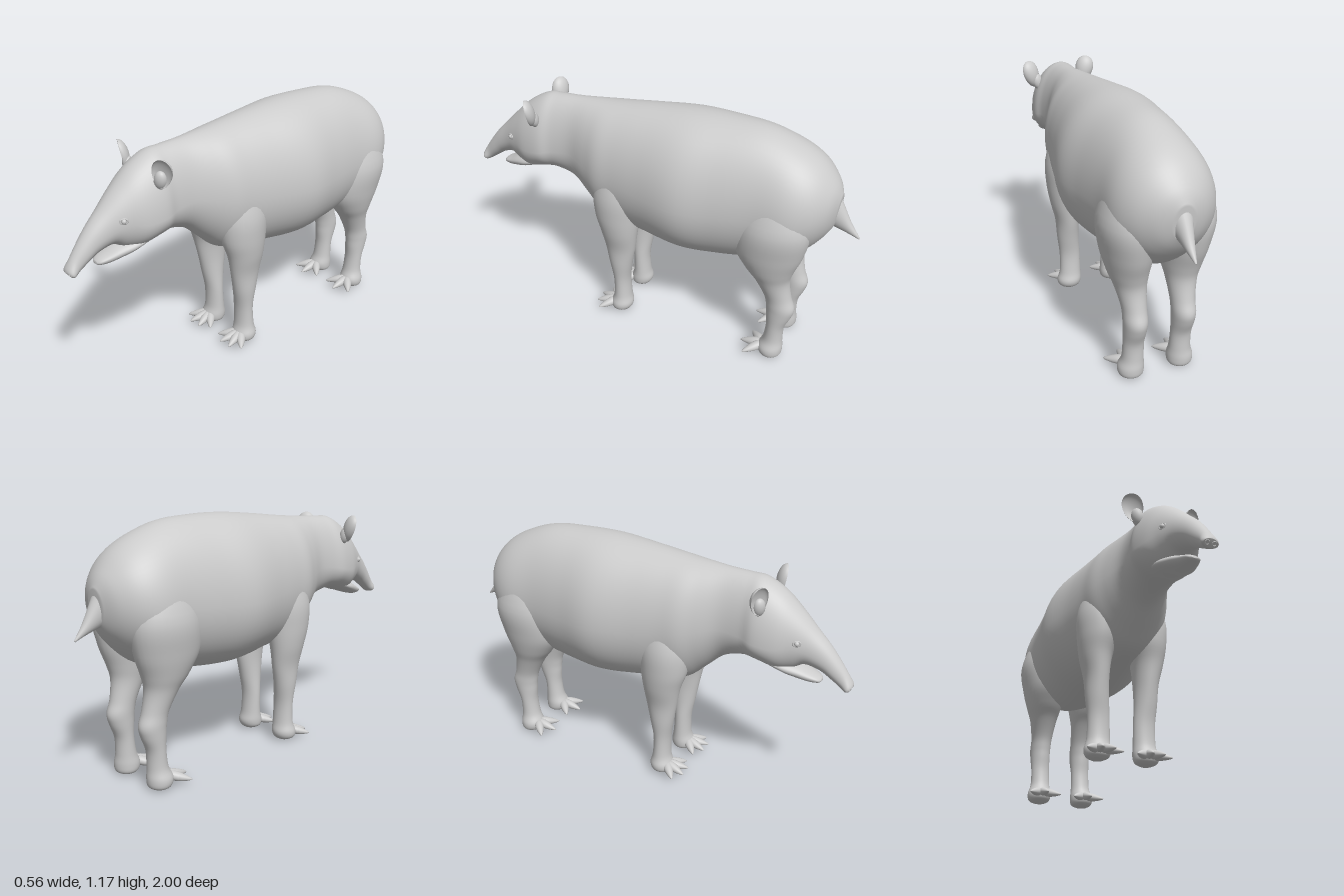
import * as THREE from 'three';

const material = new THREE.MeshStandardMaterial({ color: 0xcccccc });

function add(parent, name, geometry) {
  const mesh = new THREE.Mesh(geometry, material);
  mesh.name = name;
  parent.add(mesh);
  return mesh;
}

// Smooth skin through oval sections. Each section: [z1, y1, z2, y2, halfWidth, widest, centreX],
// where 1 and 2 are the two ends of the oval in side view and "widest" is the
// fraction from end 2 to end 1 at which the oval is broadest.
function loft(sections, around = 40, steps = 5) {
  const n = sections.length;
  const catmull = (a, b, c, d, t) =>
    b + 0.5 * t * (c - a + t * (2 * a - 5 * b + 4 * c - d + t * (3 * (b - c) + d - a)));
  const rings = [];
  for (let i = 0; i < n - 1; i++) {
    const [a, b, c, d] = [i - 1, i, i + 1, i + 2].map(k => sections[Math.min(n - 1, Math.max(0, k))]);
    for (let s = 0; s < steps; s++) rings.push(b.map((_, k) => catmull(a[k], b[k], c[k], d[k], s / steps)));
  }
  rings.push(sections[n - 1]);

  const position = [], index = [];
  for (const [z1, y1, z2, y2, w, f, cx = 0] of rings) {
    const mz = z2 + (z1 - z2) * f, my = y2 + (y1 - y2) * f;
    for (let j = 0; j < around; j++) {
      const angle = (j / around) * Math.PI * 2, t = Math.cos(angle), k = Math.abs(t);
      const [ez, ey] = t > 0 ? [z1, y1] : [z2, y2];
      position.push(cx + w * Math.sin(angle), my + (ey - my) * k, mz + (ez - mz) * k);
    }
  }
  for (let i = 0; i < rings.length - 1; i++) {
    for (let j = 0; j < around; j++) {
      const a = i * around + j, b = i * around + (j + 1) % around;
      index.push(a, a + around, b, b, a + around, b + around);
    }
  }
  // End caps
  const last = (rings.length - 1) * around;
  for (const [ring, start, flip] of [[rings[0], 0, false], [rings[rings.length - 1], last, true]]) {
    const centre = position.length / 3;
    position.push(ring[6] ?? 0, (ring[1] + ring[3]) / 2, (ring[0] + ring[2]) / 2);
    for (let j = 0; j < around; j++) {
      const a = start + j, b = start + (j + 1) % around;
      index.push(centre, flip ? b : a, flip ? a : b);
    }
  }
  const geometry = new THREE.BufferGeometry();
  geometry.setAttribute('position', new THREE.Float32BufferAttribute(position, 3));
  geometry.setIndex(index);
  geometry.computeVertexNormals();
  return geometry;
}

// Sphere reshaped by a rule acting on each vertex
function shapedSphere(rule) {
  const geometry = new THREE.SphereGeometry(1, 28, 20);
  const p = geometry.attributes.position, v = new THREE.Vector3();
  for (let i = 0; i < p.count; i++) {
    rule(v.fromBufferAttribute(p, i));
    p.setXYZ(i, v.x, v.y, v.z);
  }
  geometry.computeVertexNormals();
  return geometry;
}

// Rump to snout
const bodySections = [
  [-0.90, 0.90, -0.885, 0.75, 0.045, 0.5],
  [-0.87, 0.965, -0.85, 0.69, 0.12, 0.5],
  [-0.80, 1.045, -0.79, 0.62, 0.19, 0.48],
  [-0.70, 1.105, -0.70, 0.55, 0.23, 0.46],
  [-0.55, 1.155, -0.55, 0.505, 0.235, 0.45],
  [-0.38, 1.168, -0.38, 0.475, 0.255, 0.45],
  [-0.20, 1.168, -0.20, 0.465, 0.28, 0.45],
  [0.00, 1.15, 0.00, 0.485, 0.24, 0.46],
  [0.13, 1.135, 0.13, 0.50, 0.215, 0.48],
  [0.22, 1.125, 0.23, 0.53, 0.20, 0.48],
  [0.30, 1.118, 0.31, 0.60, 0.165, 0.45],
  [0.40, 1.11, 0.40, 0.68, 0.128, 0.4],
  [0.50, 1.105, 0.50, 0.715, 0.128, 0.33],
  [0.57, 1.098, 0.57, 0.715, 0.145, 0.3],
  [0.66, 1.05, 0.66, 0.69, 0.132, 0.36],
  [0.74, 0.98, 0.73, 0.70, 0.10, 0.46],
  [0.82, 0.90, 0.78, 0.73, 0.073, 0.45],
  [0.88, 0.84, 0.85, 0.715, 0.055, 0.45],
  [0.93, 0.78, 0.90, 0.685, 0.044, 0.45],
  [0.97, 0.725, 0.94, 0.658, 0.036, 0.45],
  [0.995, 0.685, 0.967, 0.642, 0.04, 0.45],
  [1.00, 0.668, 0.975, 0.64, 0.033, 0.5],
];

const jawSections = [
  [0.62, 0.76, 0.62, 0.71, 0.09, 0.5],
  [0.70, 0.745, 0.70, 0.678, 0.085, 0.5],
  [0.76, 0.725, 0.76, 0.66, 0.068, 0.55],
  [0.81, 0.70, 0.81, 0.65, 0.05, 0.6],
  [0.845, 0.683, 0.85, 0.652, 0.034, 0.6],
  [0.86, 0.672, 0.862, 0.66, 0.015, 0.5],
];

const tailSections = [
  [-0.999, 0.703, -0.995, 0.697, 0.004, 0.5],
  [-0.955, 0.765, -0.95, 0.715, 0.018, 0.5],
  [-0.91, 0.85, -0.89, 0.735, 0.035, 0.5],
  [-0.86, 0.94, -0.84, 0.75, 0.06, 0.5],
];

// Legs, top to sole: [frontZ, backZ, y, halfWidth, centreX]
const frontLeg = [
  [0.22, 0.02, 0.88, 0.085, 0.10], [0.26, 0.01, 0.72, 0.105, 0.118],
  [0.255, 0.02, 0.60, 0.097, 0.125], [0.225, 0.035, 0.50, 0.075, 0.133],
  [0.205, 0.05, 0.40, 0.058, 0.127], [0.187, 0.07, 0.30, 0.055, 0.123],
  [0.17, 0.085, 0.20, 0.053, 0.115], [0.17, 0.08, 0.10, 0.055, 0.115],
  [0.185, 0.07, 0.05, 0.062, 0.12], [0.18, 0.08, 0.02, 0.055, 0.12],
  [0.16, 0.10, 0.006, 0.03, 0.12],
];
const hindLeg = [
  [-0.52, -0.76, 0.92, 0.085, 0.12], [-0.47, -0.81, 0.76, 0.12, 0.135],
  [-0.465, -0.79, 0.62, 0.11, 0.13], [-0.52, -0.755, 0.52, 0.09, 0.125],
  [-0.575, -0.74, 0.45, 0.07, 0.12], [-0.625, -0.755, 0.36, 0.055, 0.115],
  [-0.64, -0.775, 0.30, 0.053, 0.115], [-0.645, -0.765, 0.25, 0.051, 0.115],
  [-0.65, -0.738, 0.18, 0.048, 0.115], [-0.64, -0.735, 0.10, 0.05, 0.115],
  [-0.62, -0.74, 0.05, 0.06, 0.12], [-0.63, -0.735, 0.015, 0.055, 0.12],
  [-0.66, -0.71, 0.0, 0.03, 0.12],
];

export function createModel() {
  const model = new THREE.Group();
  model.name = 'tapir';
  add(model, 'body', loft(bodySections, 56));
  add(model, 'lowerJaw', loft(jawSections));
  add(model, 'tail', loft(tailSections, 24));

  // Toe tapers and droops towards its tip
  const toeGeometry = shapedSphere(v => {
    const taper = 1 - 0.45 * v.z;
    v.set(v.x * 0.021 * taper, v.y * 0.02 * taper - 0.012 * v.z, v.z * 0.058);
  });
  // Ear is a ball with its front half pushed in to form a cup
  const earGeometry = shapedSphere(v => {
    const z = v.z > 0 ? -0.65 * v.z : v.z;
    v.set(v.x * (0.047 + 0.008 * v.y), v.y * 0.07, z * 0.036);
  });

  for (const side of [-1, 1]) {
    const label = side > 0 ? 'left' : 'right';

    // Legs and splayed toes
    for (const [name, rows, toeZ, angles] of [
      ['FrontLeg', frontLeg, 0.15, [-48, -14, 18, 50]],
      ['HindLeg', hindLeg, -0.645, [-46, 0, 46]],
    ]) {
      const leg = new THREE.Group();
      leg.name = label + name;
      model.add(leg);
      add(leg, 'leg', loft(rows.map(([f, b, y, w, x]) => [f, y, b, y, w, 0.5, x * side]), 32));
      for (const degrees of angles) {
        const angle = THREE.MathUtils.degToRad(degrees);
        const toe = add(leg, 'toe', toeGeometry);
        toe.position.set(0.12 * side + 0.058 * Math.sin(angle), 0.04, toeZ + 0.058 * Math.cos(angle));
        toe.rotation.y = angle;
      }
    }

    // Ear with a short root
    const ear = new THREE.Group();
    ear.name = label + 'Ear';
    ear.position.set(0.15 * side, 1.04, 0.6);
    ear.rotation.set(0.2, 0.45 * side, -0.3 * side);
    add(ear, 'earCup', earGeometry);
    const root = add(ear, 'earRoot', new THREE.SphereGeometry(1, 20, 14));
    root.scale.set(0.03, 0.045, 0.025);
    root.position.set(-0.012 * side, -0.045, -0.018);
    model.add(ear);

    // Eye with a lid ring
    const eye = new THREE.Group();
    eye.name = label + 'Eye';
    eye.position.set(0.088 * side, 0.855, 0.757);
    eye.rotation.y = 1.1 * side;
    add(eye, 'eyeball', new THREE.SphereGeometry(0.012, 16, 12));
    add(eye, 'eyelid', new THREE.TorusGeometry(0.014, 0.004, 8, 20)).scale.set(1.15, 0.85, 1);
    model.add(eye);

    // Nostril rim on the end of the snout
    const nostril = add(model, label + 'Nostril', new THREE.TorusGeometry(0.009, 0.003, 8, 16));
    nostril.position.set(0.016 * side, 0.654, 0.988);
    nostril.rotation.x = 0.7;
  }
  return model;
}
